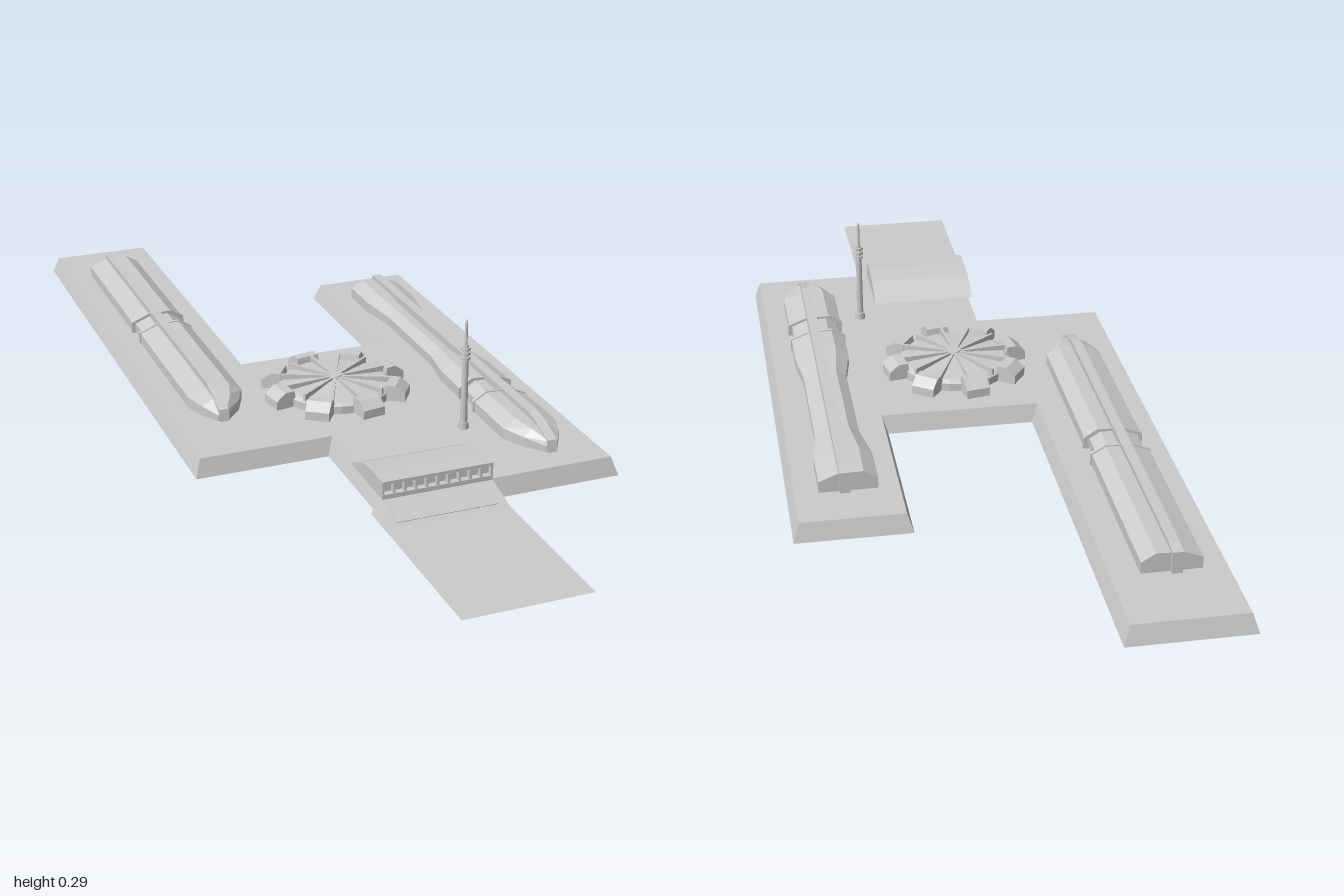
import * as THREE from 'three';

const DECK = 0.04;
const mat = new THREE.MeshStandardMaterial({ color: 0xcccccc, flatShading: true, side: THREE.DoubleSide });

function add(parent, name, geo, x = 0, y = 0, z = 0) {
  const m = new THREE.Mesh(geo, mat);
  m.name = name;
  m.position.set(x, y, z);
  parent.add(m);
  return m;
}

// Joins equal-length cross-sections (arrays of [x, y, z]) into a closed solid
function loft(rings, flip = false) {
  const n = rings[0].length, idx = [];
  const tri = (a, b, c) => (flip ? idx.push(a, c, b) : idx.push(a, b, c));
  for (let i = 0; i < rings.length - 1; i++) {
    for (let j = 0; j < n; j++) {
      const a = i * n + j, b = i * n + (j + 1) % n;
      tri(a, b, a + n);
      tri(b, b + n, a + n);
    }
  }
  const last = (rings.length - 1) * n;
  for (let j = 1; j < n - 1; j++) {
    tri(0, j + 1, j);
    tri(last, last + j, last + j + 1);
  }
  const g = new THREE.BufferGeometry();
  g.setAttribute('position', new THREE.Float32BufferAttribute(rings.flat(2), 3));
  g.setIndex(idx);
  const out = g.toNonIndexed();
  out.computeVertexNormals();
  return out;
}

// Extrudes a [z, y] side profile across x
function sideExtrude(profile, width) {
  const shape = new THREE.Shape(profile.map(([z, y]) => new THREE.Vector2(-z, y)));
  const g = new THREE.ExtrudeGeometry(shape, { depth: width, bevelEnabled: false });
  return g.translate(0, 0, -width / 2).rotateY(Math.PI / 2);
}

// Platform with sloping sides: upper corners are pulled inwards
function platformGeometry() {
  const pts = [[-0.415, 1], [-0.415, -0.3], [-0.12, -0.3], [-0.12, -0.6], [0.415, -0.6],
    [0.415, 0.56], [0.17, 0.56], [0.17, 0.155], [-0.155, 0.155], [-0.155, 1]]
    .map(([x, y]) => new THREE.Vector2(x, y));
  const g = new THREE.ExtrudeGeometry(new THREE.Shape(pts), { depth: DECK, bevelEnabled: false });
  const pos = g.attributes.position, n = pts.length;
  for (let i = 0; i < pos.count; i++) {
    if (pos.getZ(i) < DECK / 2) continue;
    const k = pts.findIndex(p => Math.hypot(p.x - pos.getX(i), p.y - pos.getY(i)) < 1e-4);
    const e1 = pts[k].clone().sub(pts[(k + n - 1) % n]).normalize();
    const e2 = pts[(k + 1) % n].clone().sub(pts[k]).normalize();
    pos.setXY(i, pts[k].x - 0.013 * (e1.y + e2.y), pts[k].y + 0.013 * (e1.x + e2.x));
  }
  g.rotateX(-Math.PI / 2);
  g.computeVertexNormals();
  return g;
}

// Long hall with a raised spine; side = -1 or 1 mirrors it.
// stations: [z, width scale, height scale]
function hall(name, side, stations) {
  const g = new THREE.Group();
  g.name = name;
  const section = [[-0.052, 0], [-0.052, 0.025], [-0.012, 0.041], [0.043, 0.043], [0.072, 0.025], [0.072, 0]];
  const rings = stations.map(([z, w, h]) =>
    section.map(([u, y]) => [side * (0.3 - u * w), DECK + y * h, z]));
  add(g, 'hallBody', loft(rings, side < 0));
  const z0 = stations[0][0], z1 = stations[stations.length - 1][0];
  const spine = [[z0 - 0.01, DECK], [z0 - 0.01, 0.088], [z0 + 0.02, 0.092], [z1 - 0.09, 0.094],
    [z1 - 0.05, 0.085], [z1, 0.066], [z1 + 0.005, DECK]];
  add(g, 'hallSpine', sideExtrude(spine, 0.022), side * 0.298);
  // collars either side of the neck
  const neck = stations.filter(s => s[3]);
  for (const [z] of neck) {
    const collar = [z - 0.004, z + 0.004].map(cz =>
      section.map(([u, y]) => [side * (0.3 - u * 1.04), DECK + y * 1.05, cz]));
    add(g, 'neckCollar', loft(collar, side < 0));
  }
  return g;
}

// Round pad with a ribbed low roof and eight sloping blocks
function roundHouse() {
  const g = new THREE.Group();
  g.name = 'roundHouse';
  const roof = [[0, 0], [0.128, 0], [0.128, 0.018], [0.118, 0.024], [0.03, 0.032], [0, 0.032]];
  add(g, 'ribbedRoof', new THREE.LatheGeometry(roof.map(p => new THREE.Vector2(...p)), 24));
  add(g, 'hub', new THREE.CylinderGeometry(0.014, 0.018, 0.012, 12), 0, 0.034, 0);
  for (let i = 0; i < 12; i++) {
    const rib = new THREE.BoxGeometry(0.115, 0.016, 0.006).translate(0.068, 0.029, 0);
    add(g, 'roofRib', rib).rotation.y = i * Math.PI / 6 + 0.1;
  }
  const profile = [[0.166, 0], [0.166, 0.02], [0.144, 0.037], [0.122, 0.037], [0.115, 0]];
  for (let i = 0; i < 8; i++) {
    add(g, 'rimBlock', sideExtrude(profile, 0.054)).rotation.y = i * Math.PI / 4 + 0.175;
  }
  g.position.set(-0.015, DECK, 0.07);
  return g;
}

// Gatehouse with a sloping back roof and a row of front windows
function gatehouse() {
  const g = new THREE.Group();
  g.name = 'gatehouse';
  const profile = [[0.578, DECK], [0.578, 0.071], [0.592, 0.072], [0.592, 0.079], [0.54, 0.079],
    [0.485, 0.073], [0.42, DECK]];
  add(g, 'gatehouseBody', sideExtrude(profile, 0.244), 0.005);
  add(g, 'windowSill', new THREE.BoxGeometry(0.244, 0.01, 0.014), 0.005, 0.045, 0.585);
  for (let i = 0; i <= 10; i++) {
    add(g, 'windowPost', new THREE.BoxGeometry(0.005, 0.024, 0.012), -0.1145 + i * 0.0239, 0.061, 0.585);
  }
  return g;
}

// Sloping apron with a raised panel, and the flat road in front of it
function approach() {
  const g = new THREE.Group();
  g.name = 'approach';
  const ring = (x0, x1, y, z) => [[x0, y, 0.57], [x0, y, z], [x1, y, z], [x1, y, 0.57]];
  add(g, 'apron', loft([ring(-0.132, 0.142, 0, 0.65), ring(-0.116, 0.126, DECK, 0.595)]));
  const panel = add(g, 'apronPanel', new THREE.BoxGeometry(0.224, 0.042, 0.003), 0.005, 0.0215, 0.621);
  panel.rotation.x = -Math.atan2(0.055, DECK);
  add(g, 'road', new THREE.PlaneGeometry(0.274, 0.36).rotateX(-Math.PI / 2), 0.005, 0.001, 0.82);
  return g;
}

// Slim mast with a foot, rings and a thin aerial
function mast() {
  const g = new THREE.Group();
  g.name = 'mast';
  const part = (name, r0, r1, y0, y1) =>
    add(g, name, new THREE.CylinderGeometry(r1, r0, y1 - y0, 10), 0, (y0 + y1) / 2, 0);
  part('mastFoot', 0.012, 0.011, DECK, 0.056);
  part('mastShaft', 0.008, 0.0065, 0.056, 0.235);
  for (const y of [0.205, 0.216, 0.227]) part('mastRing', 0.011, 0.011, y - 0.003, y + 0.003);
  part('aerial', 0.0035, 0.003, 0.235, 0.288);
  part('aerialTip', 0.003, 0.001, 0.288, 0.293);
  g.position.set(0.173, 0, 0.35);
  return g;
}

export function createModel() {
  const model = new THREE.Group();
  model.name = 'landingStation';
  add(model, 'platform', platformGeometry());
  // a fourth value marks a collar
  model.add(hall('rightHall', -1, [[-0.83, 1, 1], [-0.42, 1, 1, 1], [-0.415, 0.85, 0.88], [-0.355, 0.85, 0.88],
    [-0.35, 1, 1, 1], [0.04, 1, 1], [0.09, 0.68, 0.9], [0.13, 0.2, 0.55]]));
  model.add(hall('leftHall', 1, [[-0.44, 1, 1], [-0.34, 1, 1], [-0.24, 0.78, 0.85], [0.02, 0.78, 0.85],
    [0.11, 1, 1], [0.21, 1, 1, 1], [0.215, 0.85, 0.88], [0.28, 0.85, 0.88], [0.285, 1, 1, 1],
    [0.43, 1, 1], [0.48, 0.68, 0.9], [0.52, 0.2, 0.55]]));
  model.add(roundHouse(), gatehouse(), approach(), mast());
  return model;
}
